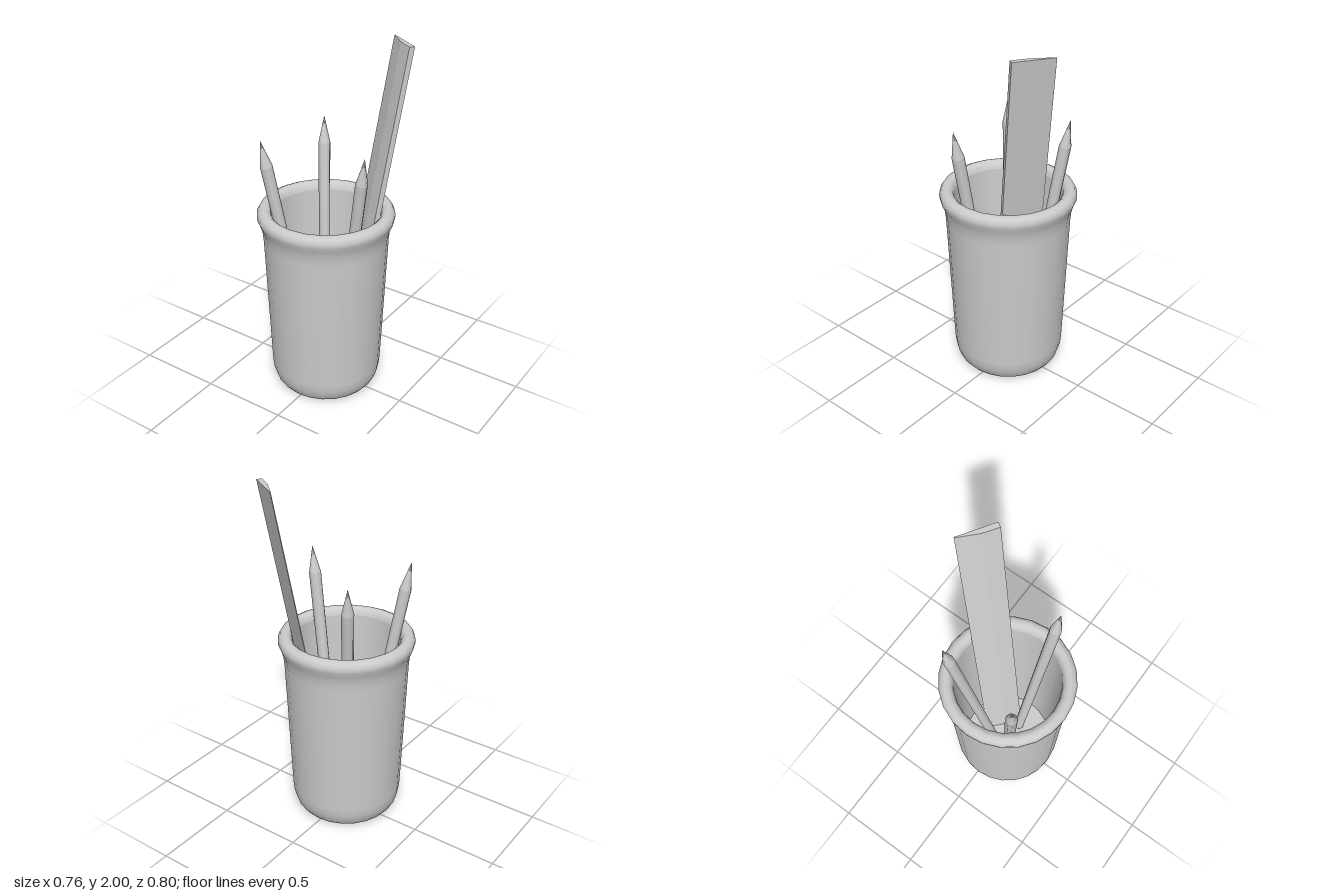
import * as THREE from 'three';

const grey = new THREE.MeshStandardMaterial({ color: 0xcccccc });
grey.name = 'plain grey';

const CUP_Z = 0.02;
const FLOOR_Y = 0.07;

function addMesh(parent, name, geometry) {
  const mesh = new THREE.Mesh(geometry, grey);
  mesh.name = name;
  parent.add(mesh);
  return mesh;
}

function lathe(points) {
  return new THREE.LatheGeometry(points.map(([r, y]) => new THREE.Vector2(r, y)), 24);
}

// Cup: separate surfaces of revolution keep the base, mouth and floor edges sharp
function createCup() {
  const cup = new THREE.Group();
  cup.name = 'cup';
  cup.position.z = CUP_Z;
  addMesh(cup, 'cupBase', lathe([[0, 0], [0.25, 0]]));
  addMesh(cup, 'cupOuterWallAndRim', lathe([
    [0.25, 0], [0.275, 0.015], [0.296, 0.042], [0.311, 0.088], [0.317, 0.14],
    [0.347, 0.94], [0.352, 0.995], [0.364, 1.035], [0.377, 1.065], [0.38, 1.09],
    [0.368, 1.114], [0.345, 1.125], [0.322, 1.12], [0.306, 1.105], [0.3, 1.08],
  ]));
  addMesh(cup, 'cupInnerWall', lathe([[0.3, 1.08], [0.262, FLOOR_Y]]));
  addMesh(cup, 'cupFloor', lathe([[0.262, FLOOR_Y], [0, FLOOR_Y]]));
  return cup;
}

// Pencil: eight-sided shaft and pointed tip, leaning from base to point
function createPencil(name, base, point) {
  const pencil = new THREE.Group();
  pencil.name = name;
  const axis = point.clone().sub(base);
  const length = axis.length();
  const tip = 0.15;
  const shaft = length - tip;
  addMesh(pencil, 'pencilShaft', new THREE.CylinderGeometry(0.034, 0.03, shaft, 8))
    .position.y = shaft / 2;
  addMesh(pencil, 'pencilTip', new THREE.CylinderGeometry(0.001, 0.034, tip, 8))
    .position.y = shaft + tip / 2;
  pencil.position.copy(base);
  pencil.quaternion.setFromUnitVectors(new THREE.Vector3(0, 1, 0), axis.normalize());
  return pencil;
}

// Ruler: bevelled cross-section swept upward, sheared so it leans on the rim
function createRuler() {
  const bottom = 0.08;
  const height = 2 - bottom;
  // Section at the top end, as (x, -z)
  const section = new THREE.Shape([
    [0.15, 0.404], [0.147, 0.401], [0.24, 0.312], [0.321, 0.258], [0.338, 0.284],
  ].map(([x, y]) => new THREE.Vector2(x, y)));
  const geometry = new THREE.ExtrudeGeometry(section, { depth: height, bevelEnabled: false });
  geometry.rotateX(-Math.PI / 2);
  const p = geometry.attributes.position;
  for (let i = 0; i < p.count; i++) {
    const drop = 1 - p.getY(i) / height;
    p.setXYZ(i, p.getX(i) - 0.185 * drop, p.getY(i) + bottom, p.getZ(i) + 0.286 * drop);
  }
  geometry.computeVertexNormals();
  return geometry;
}

export function createModel() {
  const model = new THREE.Group();
  model.name = 'pencilCup';
  model.add(createCup());

  const pencils = [
    ['frontRightPencil', [-0.06, 0.07], [-0.267, 0.238]],
    ['backRightPencil', [-0.058, -0.048], [-0.195, -0.245]],
    ['leftPencil', [0.095, 0.043], [0.31, 0.127]],
  ];
  for (const [name, [bx, bz], [px, pz]] of pencils) {
    model.add(createPencil(
      name,
      new THREE.Vector3(bx, FLOOR_Y + 0.01, bz),
      new THREE.Vector3(px, 1.52, pz),
    ));
  }

  addMesh(model, 'ruler', createRuler());
  return model;
}
